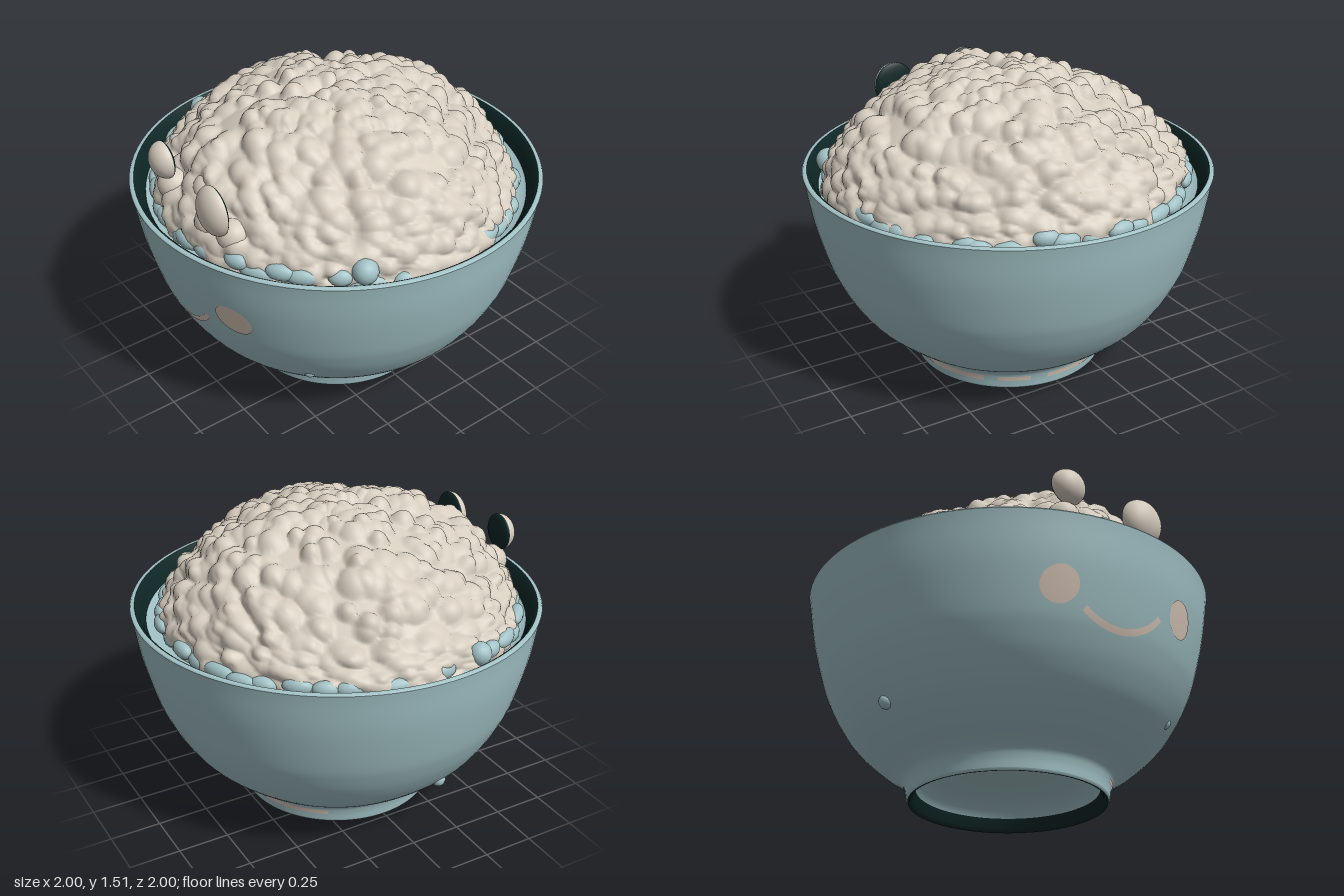
import * as THREE from 'three';
import { mergeVertices } from 'three/addons/utils/BufferGeometryUtils.js';

const V2 = (p) => new THREE.Vector2(p[0], p[1]);

// Small seeded generator for the grains
function seeded(seed) {
  let s = seed;
  return () => {
    s = (s * 1664525 + 1013904223) % 4294967296;
    return s / 4294967296;
  };
}

const splinePoints = (pts, n) => new THREE.SplineCurve(pts.map(V2)).getPoints(n);

// Outer wall of the bowl, [radius, height] from foot to rim
const wall = splinePoints([[0.482, 0.012], [0.49, 0.06], [0.507, 0.1], [0.555, 0.14], [0.635, 0.195], [0.745, 0.295],
  [0.82, 0.4], [0.872, 0.5], [0.91, 0.6], [0.962, 0.8], [0.99, 0.97], [0.998, 1.015]], 60);

// Radius of the outer wall at a height
function wallRadius(y) {
  for (let i = 1; i < wall.length; i++) {
    const a = wall[i - 1], b = wall[i];
    if (y <= b.y) return a.x + (b.x - a.x) * (y - a.y) / (b.y - a.y);
  }
  return 1;
}

// Bends a flat face onto the front of the bowl
function wrapOnBowl(geo, x, y) {
  geo.translate(x, y, 0);
  const p = geo.attributes.position;
  for (let i = 0; i < p.count; i++) {
    const r = wallRadius(p.getY(i)) + 0.003;
    p.setZ(i, Math.sqrt(r * r - p.getX(i) ** 2));
  }
  geo.computeVertexNormals();
  return geo;
}

// Domed heap whose surface is swollen by many soft grains
function riceGeometry() {
  const rand = seeded(17);
  const profile = splinePoints([[0.85, 0.88], [0.865, 0.97], [0.84, 1.06], [0.765, 1.17], [0.66, 1.275], [0.5, 1.375],
    [0.3, 1.435], [0.12, 1.455], [0, 1.455]], 120);
  let geo = new THREE.LatheGeometry(profile, 260);
  geo.deleteAttribute('uv');
  geo.deleteAttribute('normal');
  geo = mergeVertices(geo, 1e-4);
  geo.computeVertexNormals();
  const p = geo.attributes.position, n = geo.attributes.normal;

  const grains = [];
  for (let i = 0; i < 1000; i++) {
    const a = rand() * Math.PI * 2, t = Math.pow(rand(), 0.55);
    const q = profile[Math.round((1 - t) * (profile.length - 1))];
    grains.push({ x: q.x * Math.cos(a), y: q.y, z: q.x * Math.sin(a), r: 0.05 + rand() * 0.04, h: 0.025 + rand() * 0.035 });
  }
  for (let i = 0; i < p.count; i++) {
    const x = p.getX(i), y = p.getY(i), z = p.getZ(i);
    let bump = 0;
    for (const g of grains) {
      const d = ((x - g.x) ** 2 + (y - g.y) ** 2 + (z - g.z) ** 2) / (g.r * g.r);
      if (d < 1) bump = Math.max(bump, (1 - d) * g.h);
    }
    const push = bump - 0.01;
    // lower and narrower on the diagonals and the right, fuller in front, shorter behind
    const r = Math.hypot(x, z), diagonal = (1 - Math.cos(4 * Math.atan2(z, x))) / 2;
    const slope = THREE.MathUtils.smoothstep(r, 0.15, 0.65) * THREE.MathUtils.smoothstep(y, 0.95, 1.2);
    const side = r > 0 ? Math.max(0, -x / r) : 0, front = r > 0 ? Math.max(0, z / r) : 0;
    const lift = slope * (0.025 * front * front - 0.035 * diagonal - 0.045 * side * side);
    const k = 1 - 0.025 * diagonal, kz = z < 0 ? 0.96 : 1;
    p.setXYZ(i, (x + n.getX(i) * push) * 1.02 * k, y + n.getY(i) * push + lift, (z + n.getZ(i) * push) * kz * k);
  }
  geo.computeVertexNormals();
  return geo;
}

export function createModel() {
  const model = new THREE.Group();
  const mat = (name, color) => {
    const m = new THREE.MeshStandardMaterial({ color });
    m.name = name;
    return m;
  };
  const blue = mat('glaze blue', 0xa3c3c7);
  const cream = mat('rice cream', 0xd6cdbf);
  const dark = mat('dark green', 0x0d2625);
  const blush = mat('blush', 0xdccabb);

  const add = (name, geo, material, x = 0, y = 0, z = 0) => {
    const mesh = new THREE.Mesh(geo, material);
    mesh.name = name;
    mesh.position.set(x, y, z);
    model.add(mesh);
    return mesh;
  };
  const lathe = (name, pts, material) => add(name, new THREE.LatheGeometry(pts.map(V2), 96), material);

  // Bowl: outside, rim, inside and hollow foot
  add('bowlWall', new THREE.LatheGeometry(wall, 96), blue);
  lathe('rim', [[0.998, 1.015], [0.992, 1.023], [0.976, 1.022]], blue);
  lathe('rimInside', [[0.976, 1.022], [0.962, 1.012], [0.942, 0.975], [0.925, 0.94]], dark);
  lathe('bowlInside', [[0.925, 0.94], [0.89, 0.925], [0.8, 0.92]], blue);
  lathe('footHollow', [[0, 0.19], [0.2, 0.18], [0.35, 0.15], [0.42, 0.1], [0.438, 0.065]], blue);
  lathe('footInside', [[0.438, 0.065], [0.452, 0.02], [0.465, 0.002], [0.474, 0]], dark);
  lathe('footEdge', [[0.474, 0], [0.479, 0.003], [0.482, 0.012]], blue);

  // Broken painted line round the foot: start and end in degrees, lower and upper edge
  const dashes = [[39, 78, 0.058, 0.076], [78, 136, 0.048, 0.08], [144, 163, 0.05, 0.076], [173, 236, 0.05, 0.076]];
  for (const [from, to, low, high] of dashes) {
    const line = [0, 0.25, 0.5, 0.75, 1].map((t) => low + (high - low) * t).map((y) => new THREE.Vector2(wallRadius(y) + 0.003, y));
    const rad = Math.PI / 180;
    add('footLine', new THREE.LatheGeometry(line, 24, from * rad, (to - from) * rad), blush);
  }

  // Painted face
  add('rightCheek', wrapOnBowl(new THREE.RingGeometry(0, 0.085, 40, 5), -0.3, 0.69), blush);
  add('leftCheek', wrapOnBowl(new THREE.RingGeometry(0, 0.085, 40, 5), 0.385, 0.71), blush);
  add('smile', wrapOnBowl(new THREE.RingGeometry(0.27, 0.3, 40, 3, -2.25, 1.62), 0, 0.825), blush);

  // Rice heap
  add('rice', riceGeometry(), cream);

  // Two flat ears in front of the heap, dark behind
  const ears = [['rightEar', -0.2, 1.245, 0.088, 0.09], ['leftEar', 0.22, 1.195, 0.11, 0.12]];
  for (const [name, x, y, w, h] of ears) {
    const front = new THREE.SphereGeometry(1, 28, 18, 0, Math.PI);
    const back = new THREE.SphereGeometry(1, 28, 18, Math.PI, Math.PI);
    add(name + 'Front', front, cream, x, y, 0.82).scale.set(w, h, 0.07);
    add(name + 'Back', back, dark, x, y, 0.82).scale.set(w, h, 0.025);
  }

  // Rounded bulges joining the ears to the heap
  for (const [x, y, z, r] of [[0.02, 1.17, 0.73, 0.07], [-0.2, 1.1, 0.78, 0.08], [0.14, 1.08, 0.79, 0.08], [0.27, 1.07, 0.76, 0.08]]) {
    add('riceBulge', new THREE.SphereGeometry(r, 20, 14), cream, x, y, z);
  }

  // Flattened glaze lumps between rice and rim
  const rand = seeded(5);
  for (let i = 0; i < 44; i++) {
    const a = (i + rand() * 0.7) / 44 * Math.PI * 2, r = 0.865 + rand() * 0.02;
    const z = r * Math.sin(a);
    const lump = add('glazeLump', new THREE.SphereGeometry(0.045, 14, 10), blue, r * Math.cos(a), 0.945 + rand() * 0.05, z < 0 ? z * 0.97 : z);
    lump.rotation.y = -a;
    lump.scale.set(0.8, 0.9, 1.2 + rand() * 0.9);
  }
  add('glazeLump', new THREE.SphereGeometry(0.06, 16, 12), blue, 0.77, 1.02, 0.42);
  add('glazeLump', new THREE.SphereGeometry(0.055, 16, 12), blue, -0.86, 1.02, 0.24);

  // Little glaze drips low on the wall
  add('glazeDrip', new THREE.SphereGeometry(0.03, 14, 10), blue, 0.527, 0.34, 0.545);
  add('glazeDrip', new THREE.SphereGeometry(0.035, 14, 10), blue, -0.73, 0.31, 0.14);

  return model;
}
